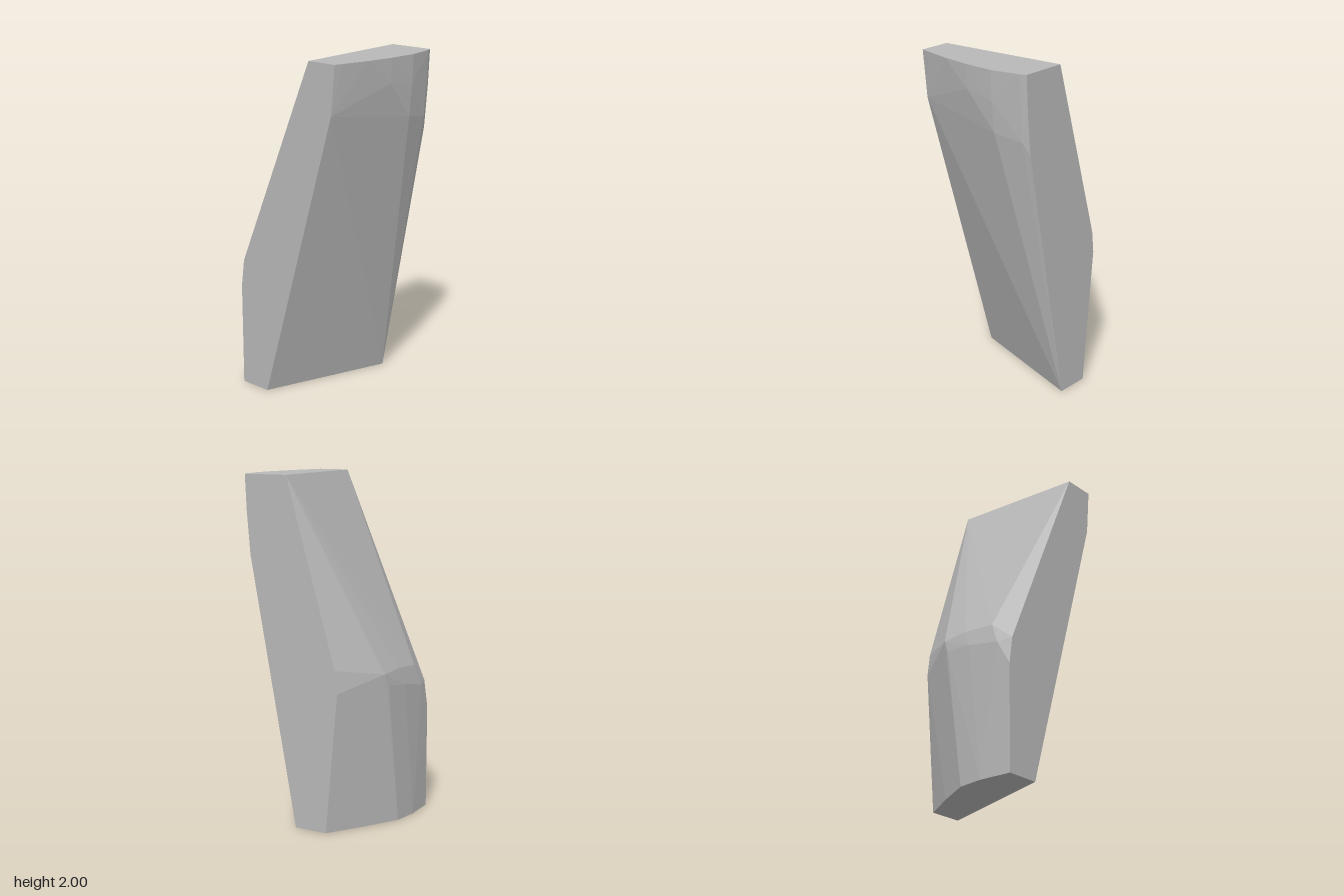
import * as THREE from 'three';
import { ConvexGeometry } from 'three/addons/geometries/ConvexGeometry.js';

const H = 0.385; // half width

// Corner rings of the leaning faceted block, each point as [x, y, z]
const rings = {
  topFront: [
    [-H, 2, 0.345], [-0.33, 2, 0.358], [-0.17, 2, 0.39], [0, 2, 0.41],
    [0.18, 2, 0.413], [0.35, 2, 0.378], [H, 2, 0.362],
  ],
  topBack: [[-H, 2, 0.155], [H, 2, 0.088]],
  upperFront: [[0, 1.86, 0.402], [0.18, 1.83, 0.406], [H, 1.8, 0.352]],
  lowerFront: [[-H, 1.72, 0.318], [0.18, 1.65, 0.388], [0.35, 1.62, 0.354], [H, 1.55, 0.33]],
  upperBack: [
    [-H, 0.77, -0.38], [-0.245, 0.885, -0.385], [-0.05, 0.9, -0.39],
    [0.11, 0.89, -0.387], [H, 0.94, -0.225],
  ],
  lowerBack: [
    [-H, 0.61, -0.402], [-0.3, 0.76, -0.406], [-0.094, 0.8, -0.407],
    [0.08, 0.82, -0.395], [H, 0.81, -0.24],
  ],
  bottomBack: [
    [-H, 0, -0.4], [-0.19, 0, -0.414], [-0.04, 0, -0.398], [0.17, 0, -0.29], [H, 0, -0.165],
  ],
  bottomFront: [[-H, 0, -0.2], [H, 0, 0.035]],
};

export function createModel() {
  const grey = new THREE.MeshStandardMaterial({ color: 0xb8b8b8 });
  grey.name = 'plain grey';

  // One convex solid stretched over all the rings
  const points = Object.values(rings).flat().map((p) => new THREE.Vector3(...p));
  const block = new THREE.Mesh(new ConvexGeometry(points), grey);
  block.name = 'leaningBlock';

  const model = new THREE.Group();
  model.name = 'facetedBlock';
  model.add(block);
  return model;
}
